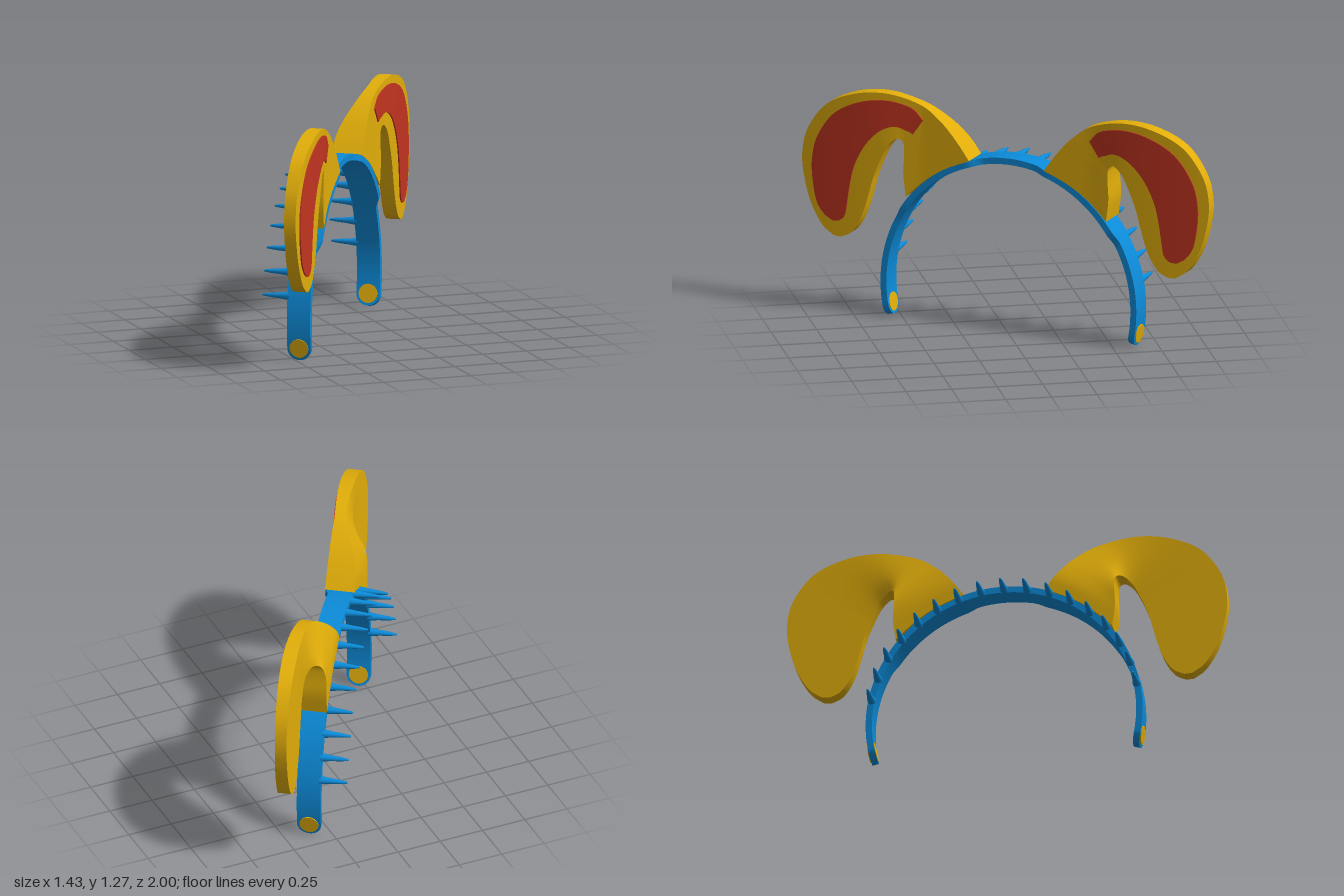
import * as THREE from 'three';
import { toCreasedNormals } from 'three/addons/utils/BufferGeometryUtils.js';

const V = (x, y, z) => new THREE.Vector3(x, y, z);
const { smoothstep: step, lerp, degToRad, radToDeg } = THREE.MathUtils;

// Closed skin through a list of point rings, capped at both ends
function loft(rings, crease = 0.6) {
  const n = rings[0].length, pos = [], idx = [];
  rings.forEach(r => r.forEach(p => pos.push(p.x, p.y, p.z)));
  for (let i = 0; i < rings.length - 1; i++) {
    for (let j = 0; j < n; j++) {
      const a = i * n + j, b = i * n + (j + 1) % n;
      idx.push(a, b, b + n, a, b + n, a + n);
    }
  }
  for (const i of [0, rings.length - 1]) {
    const c = V(0, 0, 0);
    rings[i].forEach(p => c.addScaledVector(p, 1 / n));
    const ci = pos.length / 3;
    pos.push(c.x, c.y, c.z);
    for (let j = 0; j < n; j++) {
      const a = i * n + j, b = i * n + (j + 1) % n;
      if (i === 0) idx.push(ci, b, a); else idx.push(ci, a, b);
    }
  }
  const g = new THREE.BufferGeometry();
  g.setAttribute('position', new THREE.Float32BufferAttribute(pos, 3));
  g.setIndex(idx);
  return toCreasedNormals(g, crease);
}

// Headband: elliptical arch
const A = 0.755, B = 0.775, CY = 0.2, T = 0.035, MID = -0.072;
const PHI0 = -Math.asin(CY / B);
const arch = (phi, inset) => [(A - inset) * Math.cos(phi), CY + (B - inset) * Math.sin(phi)];

function bandGeometry() {
  const r = 0.065, phis = [], rings = [];
  const endSpan = r / 0.76, total = Math.PI - 2 * PHI0;
  for (let k = 0; k < 8; k++) phis.push(endSpan * (1 - Math.cos(k / 8 * Math.PI / 2)));
  for (let k = 0; k <= 90; k++) phis.push(endSpan + (total - 2 * endSpan) * k / 90);
  for (let k = 7; k >= 0; k--) phis.push(total - endSpan * (1 - Math.cos(k / 8 * Math.PI / 2)));
  for (const f of phis) {
    const phi = PHI0 + f;
    const d = Math.min(f, total - f) / endSpan;
    const half = d < 1 ? Math.max(0.004, r * Math.sqrt(1 - (1 - d) ** 2)) : r;
    // wider seat under each ear
    const deg = radToDeg(Math.min(phi, Math.PI - phi));
    const seat = 0.026 * step(deg, 29, 35) * (1 - step(deg, 72, 78));
    const [xo, yo] = arch(phi, 0), [xi, yi] = arch(phi, T);
    const front = MID + half + seat, back = MID - half;
    rings.push([V(xi, yi, front), V(xo, yo, front), V(xo, yo, back), V(xi, yi, back)]);
  }
  return loft(rings);
}

// Ear: outer edge (x, y, front depth) paired with inner edge (x, y, back depth)
const outer = new THREE.CatmullRomCurve3([
  [0.22, 0.94, 0.02], [0.29, 1.035, 0.02], [0.38, 1.135, 0.02], [0.5, 1.22, 0.02],
  [0.68, 1.266, 0.026], [0.87, 1.25, 0.03], [1.05, 1.17, 0.03], [1.165, 1.02, 0.03],
  [1.2, 0.87, 0.03], [1.185, 0.73, 0.03], [1.145, 0.6, 0.03], [1.08, 0.49, 0.03], [1.01, 0.437, 0.03],
].map(p => V(...p)), false, 'catmullrom');
const inner = new THREE.CatmullRomCurve3([
  [0.59, 0.7, -0.142], [0.605, 0.82, -0.142], [0.6, 0.93, -0.138], [0.605, 1.0, -0.115],
  [0.64, 1.02, -0.07], [0.69, 0.976, -0.042], [0.735, 0.89, -0.034], [0.775, 0.79, -0.034],
  [0.8, 0.7, -0.034], [0.83, 0.6, -0.034], [0.865, 0.52, -0.034], [0.91, 0.462, -0.034], [0.965, 0.434, -0.034],
].map(p => V(...p)), false, 'catmullrom');

// Cross-section at s, from t0 to t1 across; thin makes a plate on the front face
function earRing(s, t0, t1, side, thin) {
  const o = outer.getPoint(s / 12), i = inner.getPoint(s / 12), m = 8, front = [], back = [];
  const outerBack = -0.034 - 0.108 * (1 - step(s, 0.5, 3.8));
  const lift = 0.03 * Math.max(0, 1 - s / 1.5); // base follows the arch
  for (let k = 0; k <= m; k++) {
    const t = lerp(t0, t1, k / m), bulge = lift * Math.sin(Math.PI * t);
    const x = lerp(o.x, i.x, t) + 0.54 * bulge, y = lerp(o.y, i.y, t) + 0.84 * bulge;
    const bow = 0.014 * Math.max(0, 1 - ((x - 0.85) / 0.35) ** 2);
    const f = o.z + bow;
    front.push(V(side * x, y, thin ? f + 0.007 : f));
    back.unshift(V(side * x, y, thin ? f - 0.002 : lerp(outerBack, i.z, t)));
  }
  const ring = front.concat(back);
  return side > 0 ? ring : ring.reverse();
}

function earGeometry(side) {
  const rings = [];
  for (let k = 0; k <= 72; k++) rings.push(earRing(k / 6, 0, 1, side, false));
  return loft(rings);
}

function liningGeometry(side) {
  const rings = [], s0 = 2.65, s1 = 10.45;
  for (let k = 0; k <= 60; k++) {
    const s = lerp(s0, s1, k / 60);
    const q = Math.max(0, (s - 9.6) / (s1 - 9.6));
    const open = step(s, s0, s0 + 0.7);
    const half = lerp(0.19, 0.275, open) * Math.sqrt(Math.max(0, 1 - q * q)) + 0.01;
    const mid = lerp(0.46, 0.44, open);
    rings.push(earRing(s, mid - half, mid + half, side, true));
  }
  return loft(rings);
}

export function createModel() {
  const blue = new THREE.MeshStandardMaterial({ color: 0x0c8cda });
  blue.name = 'blue plastic';
  const yellow = new THREE.MeshStandardMaterial({ color: 0xe2ae0a });
  yellow.name = 'golden yellow';
  const red = new THREE.MeshStandardMaterial({ color: 0xc23420 });
  red.name = 'ear red';

  const model = new THREE.Group();
  model.name = 'earHeadband';
  const add = (name, geometry, material) => {
    const mesh = new THREE.Mesh(geometry, material);
    mesh.name = name;
    model.add(mesh);
    return mesh;
  };

  add('band', bandGeometry(), blue);

  // Comb teeth along the back edge
  const tooth = new THREE.LatheGeometry(
    [[0.023, -0.01], [0.021, 0.015], [0.016, 0.05], [0.012, 0.1], [0.006, 0.142], [0, 0.146]]
      .map(p => new THREE.Vector2(...p)), 12);
  tooth.rotateX(-Math.PI / 2);
  for (let k = 0; k < 17; k++) {
    const [x, y] = arch(degToRad(11.4 + 157.2 * k / 16), T / 2);
    add('combTooth', tooth, blue).position.set(x, y, -0.136);
  }

  for (const side of [1, -1]) {
    const name = side > 0 ? 'left' : 'right';
    add(name + 'Ear', earGeometry(side), yellow);
    add(name + 'EarLining', liningGeometry(side), red);

    // Round stud through the band end
    const phi = Math.asin((0.07 - CY) / B);
    const stud = add(name + 'Stud', new THREE.CylinderGeometry(0.052, 0.052, T + 0.008, 32), yellow);
    stud.position.set(side * arch(phi, T / 2)[0], 0.07, MID);
    stud.rotation.z = Math.PI / 2 + side * phi * 0.97;
  }

  model.rotation.y = degToRad(55);
  const root = new THREE.Group();
  root.name = 'headband';
  root.add(model);
  return root;
}
